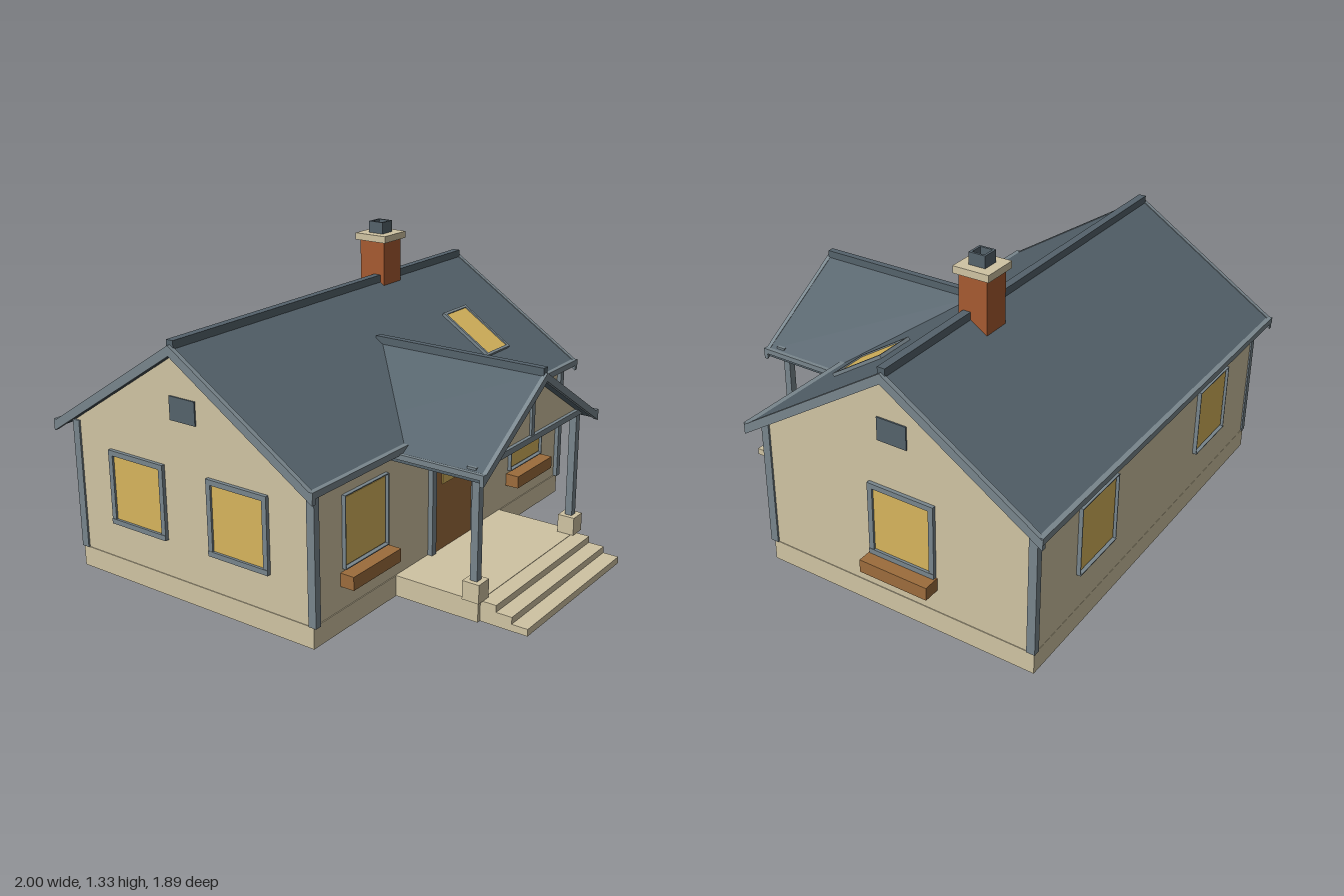
import * as THREE from 'three';

const mat = (name, color) => {
  const m = new THREE.MeshStandardMaterial({ color });
  m.name = name;
  return m;
};

export function createModel() {
  const plaster = mat('cream plaster', 0xcfc3a2);
  const slate = mat('slate', 0x54626b);
  const trim = mat('grey trim', 0x78858c);
  const glow = mat('warm glass', 0xd6b45c);
  const wood = mat('brown wood', 0x9c6c3c);
  const brick = mat('red brick', 0xa65a30);

  const model = new THREE.Group();
  model.name = 'cottage';
  const house = new THREE.Group();
  house.name = 'house';
  house.position.x = -0.005;
  model.add(house);

  const add = (parent, name, geo, material) => {
    const m = new THREE.Mesh(geo, material);
    m.name = name;
    parent.add(m);
    return m;
  };
  // Box given by its limits on each axis
  const box = (parent, name, material, x0, x1, y0, y1, z0, z1) => {
    const m = add(parent, name, new THREE.BoxGeometry(x1 - x0, y1 - y0, z1 - z0), material);
    m.position.set((x0 + x1) / 2, (y0 + y1) / 2, (z0 + z1) / 2);
    return m;
  };
  // Flat outline extruded from z0 to z1
  const prism = (parent, name, material, points, z0, z1, holes = []) => {
    const shape = new THREE.Shape(points.map(p => new THREE.Vector2(...p)));
    for (const h of holes) shape.holes.push(new THREE.Path(h.map(p => new THREE.Vector2(...p))));
    const geo = new THREE.ExtrudeGeometry(shape, { depth: z1 - z0, bevelEnabled: false });
    geo.translate(0, 0, z0);
    return add(parent, name, geo, material);
  };
  const chevron = (half, apex, slope, thick) => [
    [-half, apex - slope * half], [-half, apex - slope * half - thick], [0, apex - thick],
    [half, apex - slope * half - thick], [half, apex - slope * half], [0, apex],
  ];

  // Base, porch floor and steps
  const ZC = -0.27;
  box(house, 'foundation', plaster, -0.935, 0.935, 0, 0.09, -0.887, 0.35);
  box(house, 'porchFloor', plaster, -0.405, 0.405, 0, 0.09, 0.35, 0.735);
  for (let i = 0; i < 3; i++) {
    box(house, 'step', plaster, -0.388, 0.388, 0, 0.088 - i * 0.029, 0.735 + (i ? i * 0.07 : 0), 0.806 + i * 0.07);
  }

  // Main volume and roof, whose ridge runs along x
  const main = new THREE.Group();
  main.name = 'mainHouse';
  main.rotation.y = Math.PI / 2;
  main.position.z = ZC;
  house.add(main);
  const S = 0.644, W = 0.616;
  prism(main, 'walls', plaster,
    [[-W, 0.09], [W, 0.09], [W, 1.05 - S * W], [0, 1.05], [-W, 1.05 - S * W]], -0.932, 0.932);
  prism(main, 'mainRoof', slate, chevron(0.66, 1.082, S, 0.03), -0.98, 0.98);
  for (const s of [-1, 1]) {
    prism(main, 'bargeBoard', trim, chevron(0.672, 1.086, S, 0.042), s * 0.985 - 0.01, s * 0.985 + 0.01);
    box(main, 'gutter', trim, s * 0.663 - 0.011, s * 0.663 + 0.011, 0.635, 0.662, -0.994, 0.994);
  }
  box(main, 'ridgeCap', slate, -0.017, 0.017, 1.065, 1.104, -0.982, 0.982);

  // Corner boards
  for (const sx of [-1, 1]) {
    for (const z of [-0.874, 0.347]) {
      box(house, 'cornerBoard', trim, sx * 0.925 - 0.015, sx * 0.925 + 0.015, 0.09, 0.655, z - 0.018, z + 0.018);
    }
  }

  // Porch roof, gable and barge boards
  const P = 0.63;
  prism(house, 'porchRoof', slate, chevron(0.452, 0.915, P, 0.028), -0.02, 0.768);
  prism(house, 'porchBargeBoard', trim, chevron(0.462, 0.917, P, 0.034), 0.762, 0.78);
  box(house, 'porchRidgeCap', slate, -0.015, 0.015, 0.895, 0.938, -0.03, 0.77);
  prism(house, 'porchGable', plaster, [[-0.4, 0.64], [0.4, 0.64], [0, 0.892]], 0.69, 0.715);
  box(house, 'kingPost', trim, -0.012, 0.012, 0.65, 0.885, 0.7, 0.725);
  box(house, 'porchBeam', trim, -0.435, 0.435, 0.625, 0.65, 0.69, 0.73);
  for (const s of [-1, 1]) {
    const x = s * 0.386;
    box(house, 'porchGutter', trim, s * 0.454 - 0.009, s * 0.454 + 0.009, 0.618, 0.64, 0.36, 0.78);
    box(house, 'sideBeam', trim, x - 0.015, x + 0.015, 0.625, 0.65, 0.35, 0.7);
    box(house, 'porchPost', trim, x - 0.016, x + 0.016, 0.16, 0.63, 0.694, 0.726);
    box(house, 'postBase', plaster, x - 0.037, x + 0.037, 0.09, 0.17, 0.672, 0.748);
  }

  // Front door and lamp
  box(house, 'door', wood, -0.142, 0.142, 0.09, 0.635, 0.34, 0.358);
  box(house, 'doorGlass', glow, -0.09, 0.09, 0.383, 0.58, 0.357, 0.362);
  for (const s of [-1, 1]) box(house, 'doorJamb', trim, s * 0.157 - 0.015, s * 0.157 + 0.015, 0.09, 0.65, 0.34, 0.368);
  box(house, 'doorHead', trim, -0.172, 0.172, 0.635, 0.66, 0.34, 0.368);
  box(house, 'lamp', glow, -0.234, -0.206, 0.517, 0.555, 0.402, 0.409);
  box(house, 'lampBracket', trim, -0.222, -0.218, 0.534, 0.538, 0.345, 0.402);

  // Windows: broad casings on the gable walls, thin projecting fins on the long walls
  const makeWindow = (x, z, turn, broad, planter) => {
    const g = new THREE.Group();
    g.name = 'window';
    g.position.set(x, 0, z);
    g.rotation.y = turn;
    house.add(g);
    box(g, 'windowGlass', glow, -0.128, 0.128, 0.27, 0.547, 0, 0.007);
    const t = broad ? 0.022 : 0.004, gap = broad ? 0 : 0.008;
    const a = 0.128 + gap, lo = 0.27 - gap, hi = 0.547 + gap;
    box(g, 'frameTop', trim, -a - t, a + t, hi, hi + t, -0.003, 0.016);
    box(g, 'frameSill', trim, -a - t, a + t, lo - t, lo, -0.003, 0.018);
    for (const s of [-1, 1]) box(g, 'frameSide', trim, s * (a + t / 2) - t / 2, s * (a + t / 2) + t / 2, lo, hi, -0.003, 0.016);
    if (planter) box(g, 'flowerBox', wood, -0.155, 0.155, 0.19, 0.246, 0, planter);
  };
  for (const s of [-1, 1]) {
    makeWindow(s * 0.612, 0.347, 0, false, 0.063);
    makeWindow(s * 0.5, -0.887, Math.PI, false, 0);
    makeWindow(-0.932, ZC + s * 0.265, -Math.PI / 2, true, 0);
    box(house, 'gableVent', slate, s * 0.934 - 0.004, s * 0.934 + 0.004, 0.765, 0.863, ZC - 0.066, ZC + 0.066);
  }
  makeWindow(0.932, -0.305, Math.PI / 2, true, 0.073);

  // Skylight lying on the front slope
  const sky = new THREE.Group();
  sky.name = 'skylight';
  sky.position.set(0.57, 1.082 - S * 0.37, 0.1);
  sky.rotation.x = Math.atan(S);
  house.add(sky);
  box(sky, 'skylightGlass', glow, -0.082, 0.082, 0, 0.008, -0.132, 0.132);
  for (const s of [-1, 1]) {
    box(sky, 'skylightRail', trim, s * 0.086 - 0.006, s * 0.086 + 0.006, -0.005, 0.014, -0.143, 0.143);
    box(sky, 'skylightRail', trim, -0.08, 0.08, -0.005, 0.014, s * 0.137 - 0.006, s * 0.137 + 0.006);
  }

  // Chimney with a hollow square pot
  const chimney = new THREE.Group();
  chimney.name = 'chimney';
  chimney.position.set(0.388, 0, -0.297);
  house.add(chimney);
  box(chimney, 'chimneyStack', brick, -0.064, 0.064, 0.98, 1.255, -0.064, 0.064);
  box(chimney, 'chimneyCap', plaster, -0.08, 0.08, 1.253, 1.283, -0.08, 0.08);
  const square = r => [[-r, -r], [r, -r], [r, r], [-r, r]];
  const pot = prism(chimney, 'chimneyPot', slate, square(0.037), 0, 0.052, [square(0.027)]);
  pot.rotation.x = -Math.PI / 2;
  pot.position.y = 1.282;

  return model;
}
